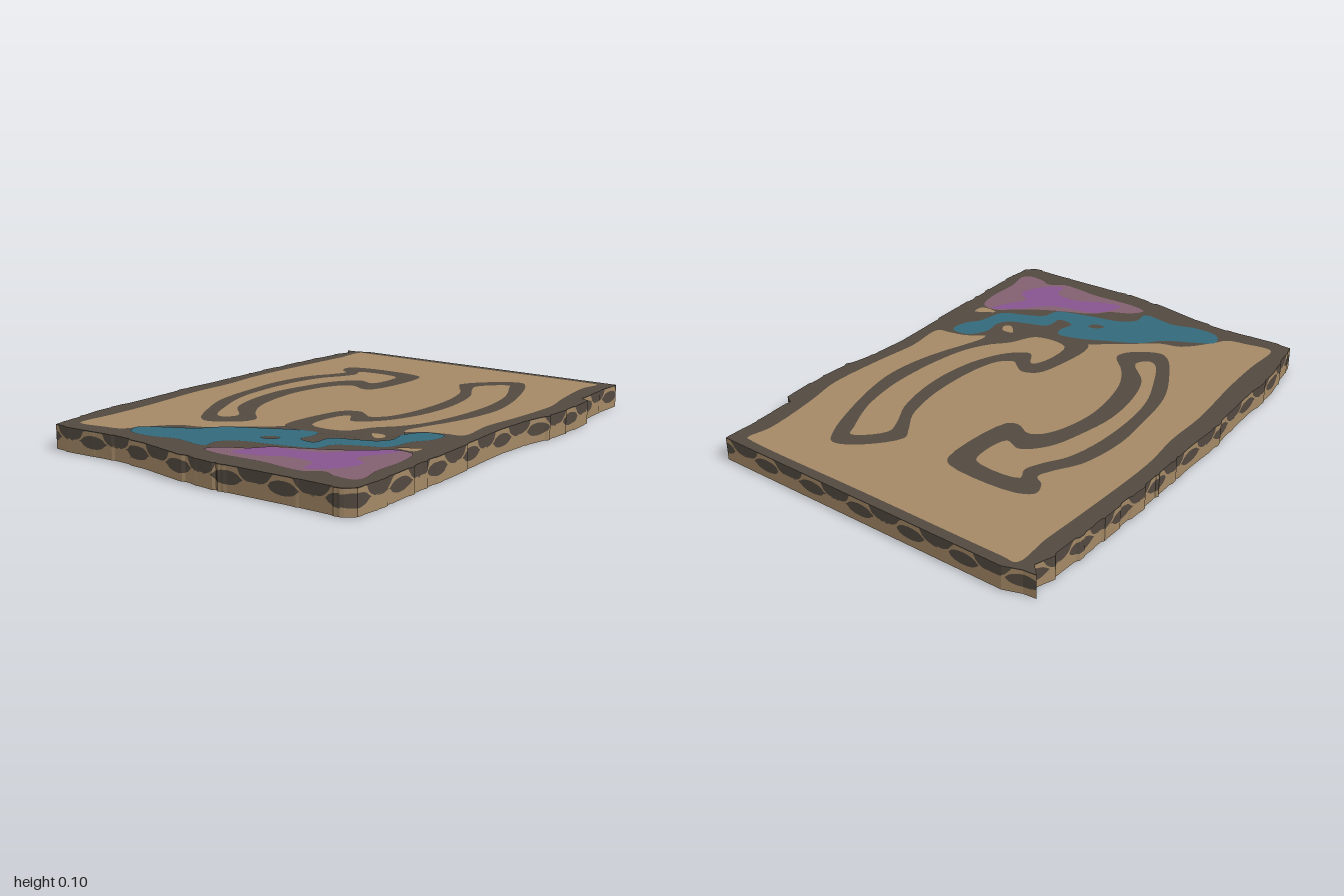
import * as THREE from 'three';

const mat = (name, color) => {
  const m = new THREE.MeshStandardMaterial({ color });
  m.name = name;
  return m;
};

// Slab outline as four sides of [x, z] points; axis is the coordinate that runs along the side
const SIDES = [
  { axis: 0, rough: 0, pts: [[-0.75, -0.97], [-0.70, -0.975], [-0.63, -1], [0.69, -1]] },
  { axis: 1, rough: 0.005, pts: [[0.69, -1], [0.69, -0.86], [0.70, -0.66], [0.735, -0.64], [0.75, -0.45], [0.745, -0.3],
    [0.72, -0.17], [0.71, 0], [0.72, 0.2], [0.73, 0.42], [0.74, 0.6], [0.75, 0.8], [0.74, 0.94], [0.70, 0.975]] },
  { axis: 0, rough: 0.005, pts: [[0.70, 0.975], [0.5, 0.98], [0.2, 0.995], [0, 0.98], [-0.2, 0.945], [-0.4, 0.94],
    [-0.6, 0.955], [-0.67, 0.95]] },
  { axis: 1, rough: 0.005, pts: [[-0.67, 0.95], [-0.69, 0.85], [-0.72, 0.7], [-0.73, 0.4], [-0.745, 0.2], [-0.74, 0],
    [-0.75, -0.28], [-0.745, -0.6], [-0.735, -0.85], [-0.71, -0.93], [-0.75, -0.97]] },
];

// Painted areas, as [x, z] points
const FIELD = [[-0.66, -0.955], [-0.6, -0.957], [0, -0.957], [0.6, -0.957], [0.625, -0.95], [0.61, -0.85], [0.64, -0.6],
  [0.67, -0.45], [0.66, -0.2], [0.64, 0], [0.65, 0.175], [0.59, 0.19], [0.52, 0.21], [0.45, 0.26], [0.3, 0.38], [0.05, 0.45],
  [-0.01, 0.5], [-0.1, 0.57], [-0.2, 0.65], [-0.29, 0.68], [-0.38, 0.79], [-0.42, 0.85], [-0.5, 0.87], [-0.6, 0.885],
  [-0.62, 0.87], [-0.62, 0.7], [-0.63, 0.5], [-0.66, 0.2], [-0.66, 0], [-0.68, -0.2], [-0.67, -0.6], [-0.66, -0.8]];

const LEFT_ARROW = [[-0.47, -0.60], [-0.41, -0.64], [-0.11, -0.64], [-0.07, -0.60], [-0.09, -0.28], [-0.13, -0.26],
  [-0.2, -0.29], [-0.24, -0.27], [-0.28, -0.2], [-0.31, -0.05], [-0.30, 0.1], [-0.26, 0.25], [-0.2, 0.35], [-0.12, 0.44],
  [-0.14, 0.50], [-0.25, 0.57], [-0.30, 0.55], [-0.39, 0.42], [-0.47, 0.25], [-0.51, 0], [-0.52, -0.15], [-0.49, -0.34],
  [-0.43, -0.45], [-0.41, -0.51], [-0.45, -0.54]];
const LEFT_ARROW_INSIDE = [[-0.365, -0.555], [-0.17, -0.56], [-0.15, -0.50], [-0.17, -0.38], [-0.24, -0.40], [-0.32, -0.32],
  [-0.37, -0.15], [-0.39, 0], [-0.37, 0.18], [-0.32, 0.32], [-0.22, 0.43], [-0.25, 0.48], [-0.29, 0.47], [-0.37, 0.33],
  [-0.43, 0.18], [-0.455, 0], [-0.45, -0.2], [-0.42, -0.34], [-0.37, -0.43], [-0.345, -0.50]];

const RIGHT_ARROW = [[0.15, -0.60], [0.27, -0.75], [0.35, -0.78], [0.40, -0.72], [0.47, -0.55], [0.52, -0.38], [0.54, -0.25],
  [0.53, -0.1], [0.50, 0.03], [0.46, 0.15], [0.44, 0.24], [0.47, 0.3], [0.42, 0.4], [0.3, 0.45], [0.05, 0.46], [0.02, 0.42],
  [0.03, 0.22], [0.06, 0.12], [0.12, 0.09], [0.17, 0.12], [0.20, 0.14], [0.25, 0.10], [0.28, 0], [0.29, -0.15],
  [0.28, -0.3], [0.24, -0.45], [0.18, -0.54]];
const RIGHT_ARROW_INSIDE = [[0.23, -0.60], [0.33, -0.70], [0.36, -0.65], [0.43, -0.5], [0.465, -0.33], [0.47, -0.2],
  [0.46, -0.05], [0.43, 0.1], [0.38, 0.2], [0.32, 0.27], [0.26, 0.38], [0.11, 0.38], [0.10, 0.22], [0.13, 0.17],
  [0.19, 0.24], [0.27, 0.18], [0.33, 0.05], [0.355, -0.1], [0.35, -0.25], [0.31, -0.42], [0.25, -0.53]];

const TEAL = [[-0.39, 0.80], [-0.36, 0.77], [-0.2, 0.68], [-0.13, 0.60], [0, 0.53], [0.1, 0.48], [0.2, 0.46], [0.22, 0.50],
  [0.21, 0.57], [0.28, 0.58], [0.29, 0.50], [0.38, 0.46], [0.45, 0.43], [0.48, 0.38], [0.47, 0.30], [0.52, 0.22],
  [0.6, 0.22], [0.6, 0.30], [0.56, 0.36], [0.53, 0.48], [0.45, 0.52], [0.36, 0.57], [0.34, 0.64], [0.2, 0.69],
  [0.05, 0.73], [0, 0.78], [0, 0.85], [-0.15, 0.84], [-0.25, 0.87], [-0.36, 0.86]];
const TEAL_GAP = [[0.08, 0.64], [0.10, 0.605], [0.14, 0.60], [0.13, 0.635]];

const MAUVE = [[0.03, 0.88], [0.06, 0.83], [0.15, 0.78], [0.2, 0.72], [0.3, 0.67], [0.4, 0.62], [0.5, 0.55], [0.58, 0.49],
  [0.65, 0.50], [0.68, 0.6], [0.68, 0.75], [0.70, 0.85], [0.68, 0.88], [0.6, 0.88], [0.55, 0.86], [0.48, 0.90],
  [0.3, 0.89], [0.1, 0.90]];
const VIOLET = [[0.14, 0.86], [0.15, 0.80], [0.2, 0.73], [0.32, 0.70], [0.4, 0.67], [0.5, 0.56], [0.6, 0.49], [0.58, 0.56],
  [0.53, 0.66], [0.59, 0.70], [0.58, 0.77], [0.52, 0.85], [0.47, 0.87], [0.45, 0.80], [0.34, 0.79], [0.24, 0.84]];
const ISLANDS = [
  [[0.37, 0.35], [0.42, 0.345], [0.44, 0.38], [0.42, 0.40]],
  [[0.56, 0.47], [0.60, 0.44], [0.64, 0.42], [0.64, 0.47], [0.60, 0.48]],
];

// Closed smooth curve through [x, z] points
const smooth = (pts) => new THREE.CatmullRomCurve3(pts.map(([x, z]) => new THREE.Vector3(x, 0, z)), true)
  .getPoints(pts.length * 5).slice(0, -1).map((p) => [p.x, p.z]);

// Flat painted face; s = 1 faces up, s = -1 faces down
function flatFace(outline, holes, s, y) {
  const flat = (pts) => pts.map(([x, z]) => new THREE.Vector2(x, -s * z));
  const shape = new THREE.Shape(flat(outline));
  holes.forEach((h) => shape.holes.push(new THREE.Path(flat(h))));
  return new THREE.ShapeGeometry(shape).rotateX(-s * Math.PI / 2).translate(0, y, 0);
}

// Ragged outline: points carry u, the position along their side
function raggedOutline() {
  let seed = 7;
  const rand = () => (seed = (seed * 16807) % 2147483647) / 2147483647;
  const out = [];
  for (const { axis, rough, pts } of SIDES) {
    let shift = 0;
    for (let i = 0; i < pts.length - 1; i++) {
      const [a, b] = [pts[i], pts[i + 1]];
      const n = Math.max(1, Math.round(Math.hypot(b[0] - a[0], b[1] - a[1]) / 0.0117));
      for (let k = 0; k < n; k++) {
        const p = [0, 1].map((c) => a[c] + (b[c] - a[c]) * k / n);
        if (rand() < 0.25) shift = (rand() * 2 - 1) * rough;
        if (i + k > 0) p[1 - axis] += shift;
        out.push({ p, axis });
      }
    }
  }
  return out;
}

// Height levels of the two alternating rows of edge spots
const LOW = 0.002, HIGH = 0.098, PERIOD = 0.235;
function spotLevels(u) {
  const bump = (centre, half) => {
    const d = u - centre;
    const t = (d - PERIOD * Math.round(d / PERIOD)) / half;
    return Math.sqrt(Math.max(0, 1 - t * t));
  };
  const low = 0.025 * bump(0, 0.06), top = 0.045 * bump(PERIOD / 2, 0.07);
  return [LOW, 0.055 - low, 0.055 + low, HIGH - 0.003 - top, HIGH];
}

// Edge band split into tan and dark strips following the spots
function wallGeometries(outline) {
  const strips = [[], []];
  outline.forEach(({ p: a, axis }, i) => {
    const b = outline[(i + 1) % outline.length].p;
    const la = spotLevels(a[axis]), lb = spotLevels(b[axis]);
    for (let k = 0; k < 4; k++) {
      const a0 = [a[0], la[k], a[1]], a1 = [a[0], la[k + 1], a[1]];
      const b0 = [b[0], lb[k], b[1]], b1 = [b[0], lb[k + 1], b[1]];
      strips[k % 2].push(...b0, ...a0, ...a1, ...b0, ...a1, ...b1);
    }
  });
  return strips.map((v) => {
    const g = new THREE.BufferGeometry();
    g.setAttribute('position', new THREE.Float32BufferAttribute(v, 3));
    g.computeVertexNormals();
    return g;
  });
}

export function createModel() {
  const tan = mat('parchment tan', 0xa48966), dark = mat('dark brown', 0x534a40);
  const teal = mat('teal', 0x336a7c), mauve = mat('mauve', 0x826070), violet = mat('violet', 0x875490);
  const model = new THREE.Group();
  model.name = 'tile';
  const add = (parent, name, geometry, material) => {
    const m = new THREE.Mesh(geometry, material);
    m.name = name;
    parent.add(m);
  };

  // Edge band
  const outline = raggedOutline();
  const [wall, spots] = wallGeometries(outline);
  add(model, 'edgeBand', wall, tan);
  add(model, 'edgeSpots', spots, dark);

  // The same painting on the upper and lower faces
  for (const s of [1, -1]) {
    const face = new THREE.Group();
    face.name = s > 0 ? 'upperFace' : 'lowerFace';
    model.add(face);
    const paint = (name, pts, layer, material, holes = []) =>
      add(face, name, flatFace(smooth(pts), holes.map(smooth), s, 0.05 + s * (0.048 + layer * 0.0007)), material);
    add(face, 'border', flatFace(outline.map((o) => o.p), [], s, s > 0 ? HIGH : LOW), dark);
    paint('field', FIELD, 1, tan);
    paint('leftArrow', LEFT_ARROW, 2, dark, [LEFT_ARROW_INSIDE]);
    paint('rightArrow', RIGHT_ARROW, 2, dark, [RIGHT_ARROW_INSIDE]);
    paint('tealPatch', TEAL, 2.8, teal, [TEAL_GAP]);
    paint('mauvePatch', MAUVE, 2, mauve);
    paint('violetPatch', VIOLET, 2.8, violet);
    ISLANDS.forEach((pts) => paint('tanIsland', pts, 2.8, tan));
  }
  return model;
}
